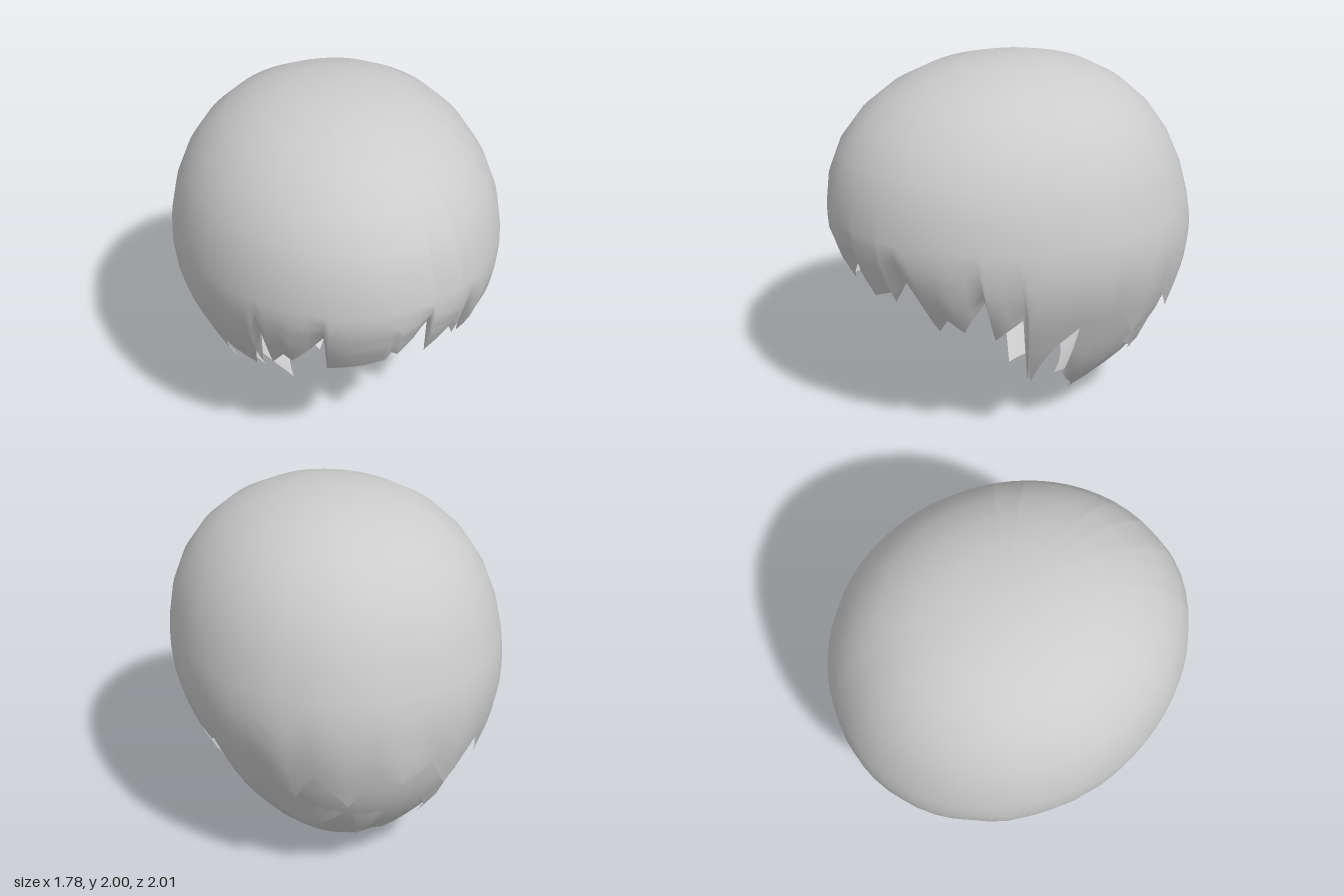
import * as THREE from 'three';
import { mergeVertices } from 'three/addons/utils/BufferGeometryUtils.js';

const RAD = Math.PI / 180;
// Lower half of the head form: [y, half width, front depth, back depth]
const LOWER = [
  [1.1, 0.89, 0.99, 1.0], [1.0, 0.88, 0.96, 1.0], [0.85, 0.84, 0.88, 0.985], [0.6, 0.73, 0.67, 0.91],
  [0.4, 0.63, 0.5, 0.79], [0.2, 0.45, 0.4, 0.61], [0, 0.25, 0.3, 0.31],
];

function section(y) {
  if (y >= 1.1) {
    const k = Math.pow(Math.max(0, 1 - Math.pow((y - 1.1) / 0.9, 2.3)), 0.435);
    return [0.89 * k, k, k];
  }
  let i = 0;
  while (i < LOWER.length - 2 && y < LOWER[i + 1][0]) i++;
  const p = LOWER[i], q = LOWER[i + 1], t = (p[0] - y) / (p[0] - q[0]);
  return [1, 2, 3].map((j) => p[j] + (q[j] - p[j]) * t);
}

// Point on the head form; angle 0 is the front, 90 the model's left.
// The back corners are fuller, the front right corner flatter, and the upper dome leans forward.
function onHead(deg, y, scale) {
  const [a, f, b] = section(y), c = Math.cos(deg * RAD), s = Math.sin(deg * RAD);
  const corner = c < 0 ? 0.05 : s < 0 ? -0.055 : 0;
  const r = scale * (1 + corner * Math.abs(s * c));
  const lean = y > 1.1 ? 0.033 * Math.sin(((y - 1.1) / 0.9) * Math.PI) : 0;
  return [a * s * r, y, (c > 0 ? f : b) * c * r + lean];
}

// Sheet of hair from height `start` down to a jagged hem of [angle, y, inward bend],
// with an optional dome of rows above it up to the crown
function hairSheet(hem, start, rows, scale, domeRows = 0) {
  const cols = [];
  hem.forEach(([d, y, bend = 0], i) => {
    if (i === hem.length - 1) return cols.push([d, y, bend]);
    const [d2, y2, bend2 = 0] = hem[i + 1], n = Math.max(1, Math.ceil((d2 - d) / 8));
    for (let k = 0; k < n; k++) {
      const t = k / n;
      cols.push([d + (d2 - d) * t, y + (y2 - y) * t, bend + (bend2 - bend) * t]);
    }
  });
  const pos = [], idx = [], total = domeRows + rows;
  cols.forEach(([d, y, bend], c) => {
    for (let r = 0; r <= total; r++) {
      const v = (r - domeRows) / rows;
      if (v < 0) {
        const ease = 1 - Math.cos((r / domeRows) * Math.PI / 2);
        pos.push(...onHead(d, 2 - (2 - start) * ease, scale));
      } else {
        pos.push(...onHead(d, start + (y - start) * v, scale * (1 - bend * v * v)));
      }
      if (c && r) {
        const p = (c - 1) * (total + 1) + r - 1, q = p + total + 1;
        idx.push(p, p + 1, q + 1, p, q + 1, q);
      }
    }
  });
  let g = new THREE.BufferGeometry();
  g.setAttribute('position', new THREE.Float32BufferAttribute(pos, 3));
  g.setIndex(idx);
  g = mergeVertices(g, 1e-4);
  g.computeVertexNormals();
  return g;
}

// Short pointed lock lying on the hair, its tip lifted outwards
function strand(deg, yTop, tipDeg, yTip, width, lift) {
  return hairSheet([[deg - width, yTop], [tipDeg, yTip, -lift], [deg + width, yTop]], yTop + 0.1, 4, 0.965);
}

export function createModel() {
  const group = new THREE.Group();
  const hair = new THREE.MeshStandardMaterial({ color: 0xcccccc, side: THREE.DoubleSide });
  hair.name = 'hair grey';
  const add = (name, geometry) => {
    const m = new THREE.Mesh(geometry, hair);
    m.name = name;
    group.add(m);
  };

  // Outer layer: right side, fringe, left side, then the back's jagged edge
  const capHem = [
    [-180, 0.74, -0.03], [-169, 0.84], [-158, 0.62, -0.01], [-146, 0.83], [-134, 0.62, -0.02], [-122, 0.82],
    [-110, 0.68, -0.03], [-102, 0.8],
    [-96, 0.73], [-89, 0.64], [-84, 0.5], [-79, 0.37], [-75, 0.45], [-66, 0.66],
    [-49, 0.59], [-46, 0.78, 0.03], [-43.5, 0.68], [-42, 0.97, 0.06], [-38, 0.72], [-33, 0.85, 0.03], [-29, 0.83],
    [-18, 1.05, 0.06], [-16, 0.78], [3, 0.88], [4, 0.87], [6, 0.93, 0.02], [8, 0.92], [19, 1.1, 0.06],
    [19.5, 0.86], [31, 0.94, 0.03], [32, 0.89], [38, 1.03, 0.06], [44, 0.73], [50, 0.83, 0.02],
    [55, 0.76], [65, 0.97, 0.04], [66, 0.72], [77, 0.86, 0.02], [78, 0.39], [79, 0.44], [81, 0.36], [85, 0.52],
    [90, 0.64], [95, 0.73], [99, 0.8], [104, 0.76], [110, 0.83], [120, 0.6, -0.02], [129, 0.83],
    [141, 0.64, -0.02], [149, 0.83], [160, 0.6, -0.01], [170, 0.83], [180, 0.74, -0.03],
  ];
  add('outerHair', hairSheet(capHem, 1.25, 7, 1, 7));

  // Inner layer wrapping the nape
  const napeHem = [
    [98, 0.38], [106, 0.26], [112, 0.2], [125, 0.1], [140, 0.04], [158, 0.13], [187, 0.0], [210, 0.1],
    [254, 0], [258, 0.25], [262, 0.32],
  ];
  add('napeHair', hairSheet(napeHem, 0.98, 9, 0.97));

  // Loose locks: [angle, top, tip angle, tip height, half width, lift]
  [
    [257, 0.34, 266, 0.17, 7, 0.02], [141, 0.52, 143, 0.32, 20, 0.05], [170, 0.48, 166, 0.24, 10, 0.05],
    [116, 0.4, 118, 0.12, 9, 0.04], [-125, 0.45, -130, 0.2, 12, 0.05], [-150, 0.5, -152, 0.28, 12, 0.05],
  ].forEach((s, i) => add('strand' + (i + 1), strand(...s)));

  return group;
}
